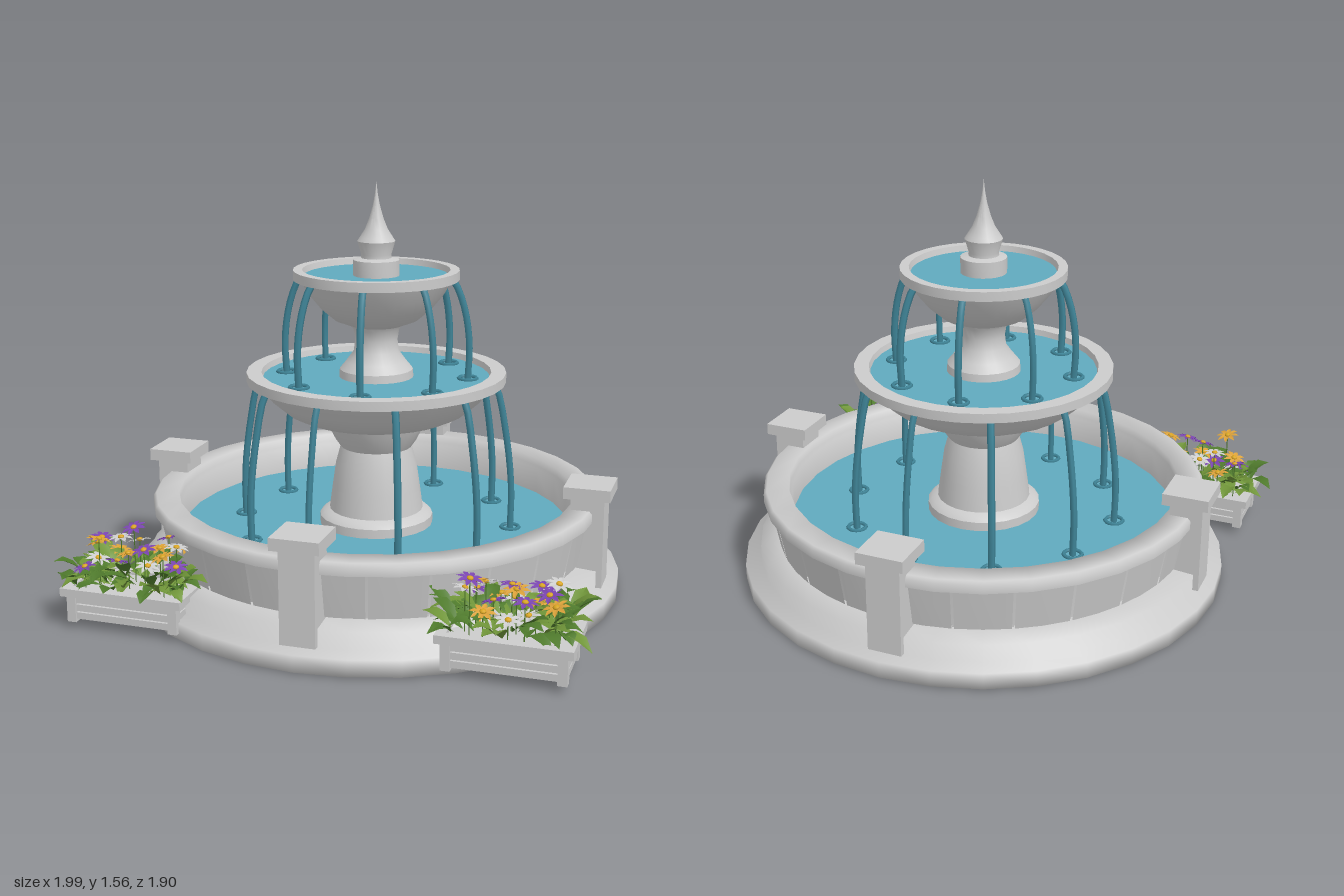
import * as THREE from 'three';
import { mergeGeometries, toCreasedNormals } from 'three/addons/utils/BufferGeometryUtils.js';

const mat = (color, side = THREE.FrontSide) => new THREE.MeshStandardMaterial({ color, side });
const stone = mat(0xcccccc);
const stoneThin = mat(0xcccccc, THREE.DoubleSide);
const water = mat(0x60a9bd);
const stream = mat(0x3f8497);
const leafGreens = [mat(0x4f7a2c, THREE.DoubleSide), mat(0x6f9438, THREE.DoubleSide)];
const petalColors = [mat(0x7a45b0, THREE.DoubleSide), mat(0xf0eeee, THREE.DoubleSide), mat(0xdca23a, THREE.DoubleSide)];
const heartMat = mat(0xd9a520);

function add(parent, name, geometry, material, x = 0, y = 0, z = 0) {
  const mesh = new THREE.Mesh(geometry, material);
  mesh.name = name;
  mesh.position.set(x, y, z);
  parent.add(mesh);
  return mesh;
}

// Turned stone: profile of [radius, height] pairs, outside going up
function turned(points, { sides = 32, start = 0, length = Math.PI * 2, crease = 0.6 } = {}) {
  const profile = points.map(([r, y]) => new THREE.Vector2(r, y));
  return toCreasedNormals(new THREE.LatheGeometry(profile, sides, start, length), crease);
}

function seeded(seed) {
  return () => (seed = (seed * 16807) % 2147483647) / 2147483647;
}

// Pointed blade along +z with a folded midrib and a drooping tip
function blade(length, width, rise, droop) {
  const g = new THREE.PlaneGeometry(1, 1, 2, 3);
  const p = g.attributes.position;
  for (let i = 0; i < p.count; i++) {
    const t = p.getY(i) + 0.5;
    const x = -p.getX(i) * width * (t === 1 ? 0 : Math.max(0.08, Math.sin(Math.PI * t)));
    p.setXYZ(i, x, rise * t - droop * t * t + Math.abs(x) * 0.35, t * length);
  }
  g.computeVertexNormals();
  return g;
}

// Stone basin: steps, wall with panels, coping and corner posts
function makeBasin() {
  const basin = new THREE.Group();
  basin.name = 'basin';
  add(basin, 'steps', turned([[0, 0], [0.94, 0], [0.948, 0.003], [0.948, 0.065], [0.885, 0.07], [0.885, 0.14], [0.79, 0.148]],
    { crease: 1.7 }), stone);
  add(basin, 'wall', turned([[0.79, 0.14], [0.79, 0.16], [0.815, 0.327], [0.863, 0.327]]), stone);
  add(basin, 'coping', turned([[0.863, 0.327], [0.863, 0.36], [0.852, 0.372], [0.765, 0.372], [0.765, 0.34], [0.755, 0.33],
    [0.752, 0.2]], { crease: 1.7 }), stone);

  const count = 24, step = Math.PI * 2 / count, gap = 0.012;
  for (let i = 0; i < count; i++) {
    const panel = turned([[0.79, 0.155], [0.81, 0.155], [0.842, 0.325], [0.81, 0.325]],
      { sides: 2, start: i * step + gap / 2, length: step - gap });
    add(basin, 'wallPanel', panel, stoneThin);
  }
  for (let i = 0; i < 4; i++) {
    const post = new THREE.Group();
    post.name = 'post';
    add(post, 'postShaft', new THREE.BoxGeometry(0.13, 0.35, 0.125), stone, 0, 0.25, 0.838);
    add(post, 'postCap', new THREE.BoxGeometry(0.18, 0.045, 0.175), stone, 0, 0.4425, 0.838);
    post.rotation.y = i * Math.PI / 2;
    basin.add(post);
  }
  add(basin, 'poolWater', new THREE.CircleGeometry(0.757, 32).rotateX(-Math.PI / 2), water, 0, 0.23, 0);
  return basin;
}

// Pedestals, two bowls and the finial
function makeTiers() {
  const tiers = new THREE.Group();
  tiers.name = 'tiers';
  add(tiers, 'lowerPedestal', turned([[0.22, 0.18], [0.22, 0.265], [0.205, 0.28], [0.182, 0.29], [0.17, 0.38], [0.157, 0.47],
    [0.138, 0.54], [0.16, 0.572], [0.182, 0.615], [0.202, 0.66]], { sides: 24 }), stone);
  add(tiers, 'lowerBowl', turned([[0, 0.65], [0.2, 0.65], [0.29, 0.66], [0.35, 0.688], [0.405, 0.735], [0.455, 0.8],
    [0.497, 0.802], [0.497, 0.838], [0.44, 0.838], [0.43, 0.79]]), stone);
  add(tiers, 'lowerBowlWater', new THREE.CircleGeometry(0.437, 32).rotateX(-Math.PI / 2), water, 0, 0.815, 0);
  add(tiers, 'upperPedestal', turned([[0.145, 0.79], [0.14, 0.845], [0.115, 0.875], [0.086, 0.915], [0.081, 0.96],
    [0.088, 1.0], [0.108, 1.025]], { sides: 24 }), stone);
  add(tiers, 'upperBowl', turned([[0, 1.015], [0.1, 1.015], [0.16, 1.038], [0.215, 1.085], [0.256, 1.135], [0.288, 1.19],
    [0.315, 1.192], [0.315, 1.228], [0.28, 1.228], [0.27, 1.18]]), stone);
  add(tiers, 'upperBowlWater', new THREE.CircleGeometry(0.278, 32).rotateX(-Math.PI / 2), water, 0, 1.205, 0);
  add(tiers, 'finial', turned([[0.088, 1.19], [0.088, 1.265], [0.058, 1.272], [0.057, 1.285], [0.072, 1.335], [0.062, 1.35],
    [0.043, 1.38], [0.027, 1.42], [0.013, 1.47], [0.005, 1.515], [0, 1.56]], { sides: 20 }), stone);
  return tiers;
}

// Falling streams with ripple rings where they land
function makeStreams(name, count, path, level) {
  const group = new THREE.Group();
  group.name = name;
  const curve = new THREE.CatmullRomCurve3(path.map(([r, y]) => new THREE.Vector3(r, y, 0)));
  const tube = new THREE.TubeGeometry(curve, 10, 0.0135, 6);
  const ripple = new THREE.TorusGeometry(0.034, 0.008, 5, 16).rotateX(Math.PI / 2);
  const landing = path[path.length - 1][0];
  for (let i = 0; i < count; i++) {
    const jet = new THREE.Group();
    jet.name = 'stream';
    add(jet, 'fallingWater', tube, stream);
    add(jet, 'ripple', ripple, stream, landing, level + 0.003, 0);
    jet.rotation.y = 0.135 + i * Math.PI * 2 / count;
    group.add(jet);
  }
  return group;
}

// Slatted planter box with leaves and daisies
function makePlanter(seed) {
  const planter = new THREE.Group();
  planter.name = 'planter';
  const rand = seeded(seed);
  const spread = (size) => (rand() - 0.5) * size;
  for (const s of [-1, 1]) {
    add(planter, 'rimLong', new THREE.BoxGeometry(0.47, 0.03, 0.035), stone, 0, 0.14, s * 0.116);
    add(planter, 'rimShort', new THREE.BoxGeometry(0.035, 0.03, 0.2), stone, s * 0.2175, 0.14, 0);
    for (const y of [0.05, 0.08, 0.11]) {
      add(planter, 'slatLong', new THREE.BoxGeometry(0.41, 0.025, 0.014), stone, 0, y, s * 0.108);
      add(planter, 'slatShort', new THREE.BoxGeometry(0.014, 0.025, 0.205), stone, s * 0.203, y, 0);
    }
    for (const t of [-1, 1]) {
      add(planter, 'leg', new THREE.BoxGeometry(0.034, 0.1, 0.034), stone, s * 0.198, 0.076, t * 0.105);
    }
  }
  add(planter, 'soil', new THREE.BoxGeometry(0.4, 0.03, 0.205), stone, 0, 0.125, 0);

  const leaves = [[], []];
  for (let i = 0; i < 100; i++) {
    const x = spread(0.4), z = spread(0.2);
    const outward = Math.atan2(x, z * 1.6) + spread(2.4);
    const leaf = blade(0.07 + rand() * 0.055, 0.06, 0.05 + rand() * 0.1, 0.06 + rand() * 0.03);
    leaves[i % 2].push(leaf.rotateY(outward).translate(x, 0.15 + rand() * 0.05, z));
  }
  leaves.forEach((list, i) => add(planter, 'leaves', mergeGeometries(list), leafGreens[i]));

  const petals = [[], [], []], hearts = [], stems = [];
  for (let i = 0; i < 20; i++) {
    const x = ((i % 5) - 2) * 0.074 + spread(0.05);
    const z = (Math.floor(i / 5) - 1.5) * 0.052 + spread(0.04);
    const y = 0.21 + rand() * 0.14;
    const tiltX = spread(0.6), tiltZ = spread(0.6);
    const place = (g) => g.rotateX(tiltX).rotateZ(tiltZ).translate(x, y, z);
    for (let k = 0; k < 8; k++) {
      petals[(i * 2 + Math.floor(i / 5)) % 3].push(place(blade(0.049, 0.02, 0.012, 0.012).rotateY(k * Math.PI / 4)));
    }
    hearts.push(place(new THREE.SphereGeometry(0.012, 8, 5).scale(1, 0.6, 1).translate(0, 0.005, 0)));
    stems.push(new THREE.CylinderGeometry(0.002, 0.002, y - 0.13, 4).translate(x, (y + 0.13) / 2, z));
  }
  petals.forEach((list, i) => add(planter, 'petals', mergeGeometries(list), petalColors[i]));
  add(planter, 'flowerCentres', mergeGeometries(hearts), heartMat);
  add(planter, 'stems', mergeGeometries(stems), leafGreens[0]);
  return planter;
}

export function createModel() {
  const model = new THREE.Group();
  model.name = 'fountain';
  model.add(makeBasin(), makeTiers());
  model.add(makeStreams('lowerStreams', 10,
    [[0.45, 0.81], [0.474, 0.755], [0.495, 0.65], [0.515, 0.52], [0.527, 0.38], [0.525, 0.23]], 0.23));
  model.add(makeStreams('upperStreams', 8,
    [[0.288, 1.2], [0.312, 1.16], [0.342, 1.065], [0.357, 0.94], [0.352, 0.815]], 0.815));
  for (const s of [-1, 1]) {
    const planter = makePlanter(s < 0 ? 4711 : 90210);
    planter.position.set(s * 0.695, 0, 0.71);
    model.add(planter);
  }
  model.position.x = 0.018;
  const root = new THREE.Group();
  root.name = 'gardenFountain';
  root.add(model);
  return root;
}
